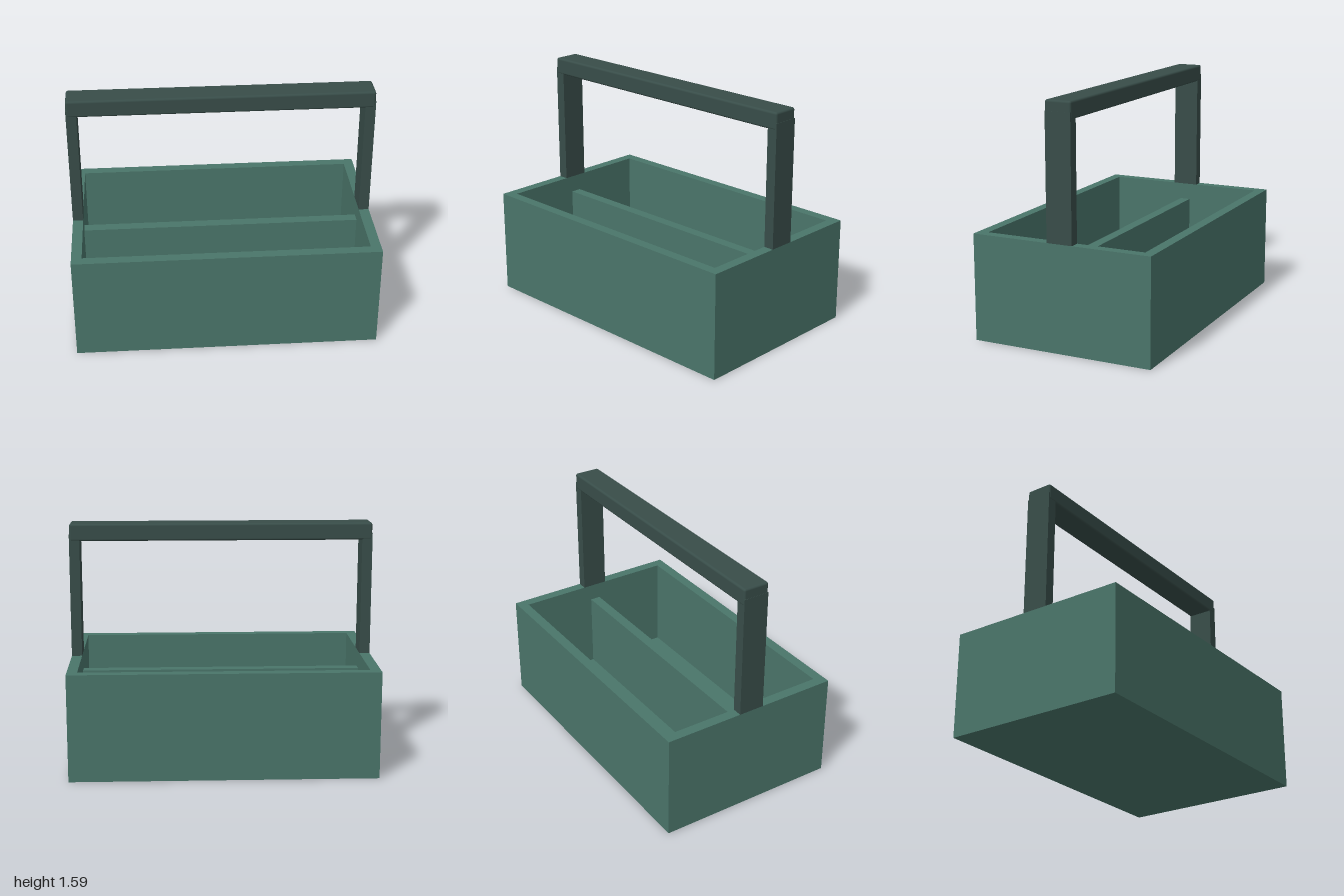
import * as THREE from 'three';
import { RoundedBoxGeometry } from 'three/addons/geometries/RoundedBoxGeometry.js';

const HALF_X = 1, HALF_Z = 0.615, HEIGHT = 0.705, WALL = 0.068;
const POST_TOP = 1.52, BAR_BOTTOM = 1.475, BAR_TOP = 1.588, GRIP_DEPTH = 0.174;

function rectangle(path, hx, hz) {
  path.moveTo(-hx, -hz).lineTo(hx, -hz).lineTo(hx, hz).lineTo(-hx, hz).closePath();
  return path;
}

export function createModel() {
  const group = new THREE.Group();
  group.name = 'toolCaddy';

  const green = new THREE.MeshStandardMaterial({ color: 0x4a756a });
  green.name = 'muted green';
  const dark = new THREE.MeshStandardMaterial({ color: 0x384d49 });
  dark.name = 'dark green';

  const add = (name, geometry, material, x, y, z) => {
    const mesh = new THREE.Mesh(geometry, material);
    mesh.name = name;
    mesh.position.set(x, y, z);
    group.add(mesh);
    return mesh;
  };

  // Four walls as one hollow frame
  const innerX = HALF_X - WALL, innerZ = HALF_Z - WALL;
  const outline = rectangle(new THREE.Shape(), HALF_X, HALF_Z);
  outline.holes.push(rectangle(new THREE.Path(), innerX, innerZ));
  const walls = new THREE.ExtrudeGeometry(outline, { depth: HEIGHT, bevelEnabled: false });
  walls.rotateX(-Math.PI / 2);
  add('walls', walls, green, 0, 0, 0);

  // Floor and the lower central divider
  add('floor', new THREE.BoxGeometry(innerX * 2, WALL, innerZ * 2), green, 0, WALL / 2, 0);
  const dividerTop = 0.59;
  add('divider', new THREE.BoxGeometry(innerX * 2, dividerTop - WALL, 0.07), green,
    0, (dividerTop + WALL) / 2, 0);

  // Handle posts standing on the end walls
  for (const [name, side] of [['leftPost', 1], ['rightPost', -1]]) {
    add(name, new THREE.BoxGeometry(WALL, POST_TOP - HEIGHT, GRIP_DEPTH), dark,
      side * (HALF_X - WALL / 2), (POST_TOP + HEIGHT) / 2, 0);
  }

  // Grip bar with softened edges
  add('gripBar', new RoundedBoxGeometry(1.996, BAR_TOP - BAR_BOTTOM, GRIP_DEPTH + 0.004, 3, 0.014), dark,
    0, (BAR_TOP + BAR_BOTTOM) / 2, 0);

  return group;
}
